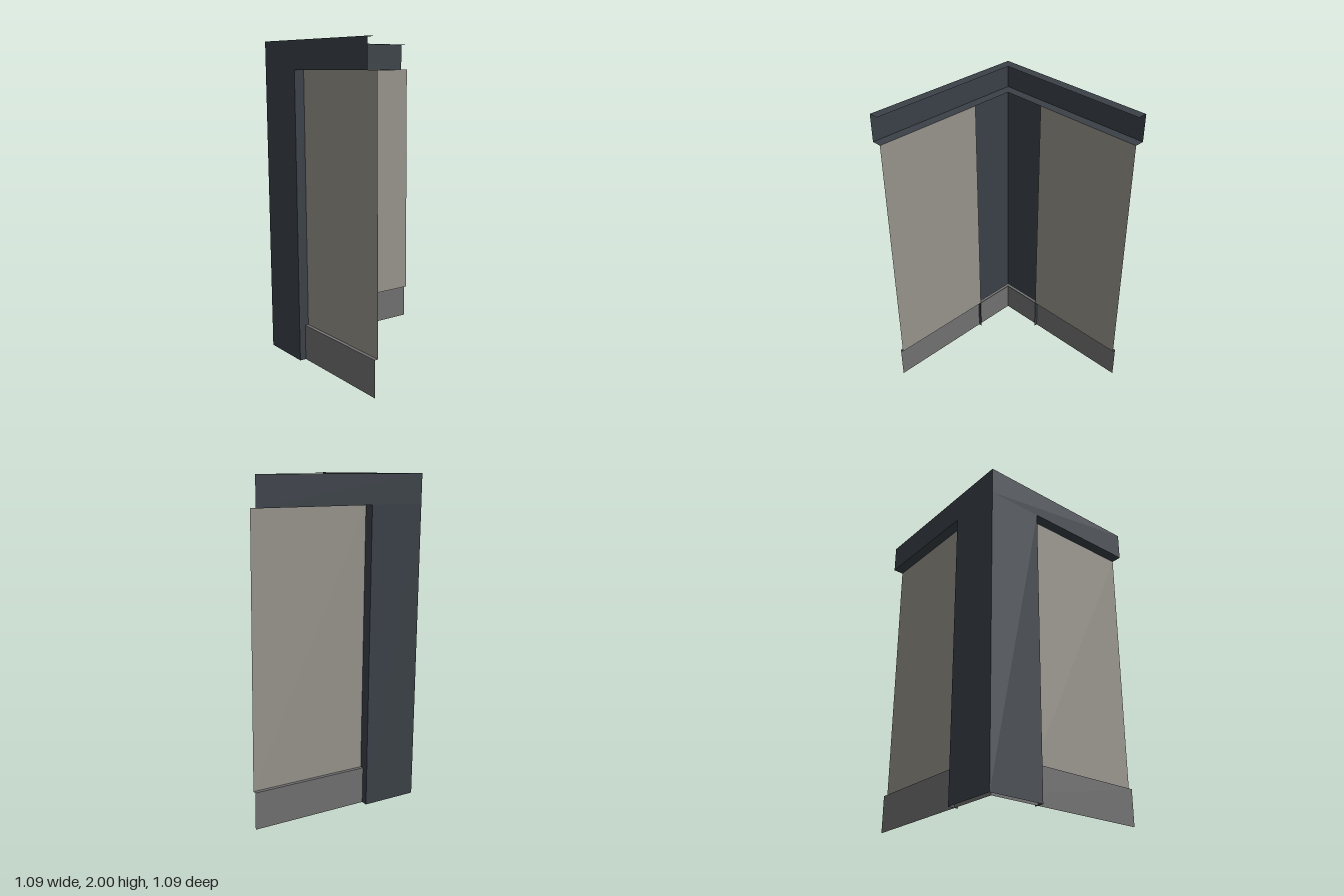
import * as THREE from 'three';

const material = (name, color) => {
  const m = new THREE.MeshStandardMaterial({ color, side: THREE.DoubleSide });
  m.name = name;
  return m;
};

const HALF = 0.547;        // half the plan size
const LENGTH = 2 * HALF;   // length of each wall
const HEIGHT = 2;
const DEPTH = 0.064;       // depth of the frame profile
const BASE_DEPTH = 0.041;  // setback of the baseboard from the outer face
const POST = 0.352;        // width of the corner post
const BAND_Y = 1.825;      // underside of the top band
const BASE_Y = 0.226;      // top of the baseboard

// Flat sheet from an outline of points [along wall, height, depth inwards]
function sheet(name, mat, outline, side) {
  const pts = outline.map(([u, y, d]) => (side === 'front'
    ? [-HALF + u, y, HALF - d]
    : [-HALF + d, y, HALF - u]));
  if (side !== 'front') pts.reverse();
  const g = new THREE.BufferGeometry();
  g.setAttribute('position', new THREE.Float32BufferAttribute(pts.flat(), 3));
  g.setIndex([0, 1, 2, 0, 2, 3]);
  g.computeVertexNormals();
  const mesh = new THREE.Mesh(g, mat);
  mesh.name = name;
  return mesh;
}

// Upright sheet at depth d
const upright = (u0, u1, y0, y1, d) => [[u0, y0, d], [u1, y0, d], [u1, y1, d], [u0, y1, d]];
// Level strip between two depths, mitred at the corner
const level = (y, d0, d1) => [[d0, y, d0], [LENGTH, y, d0], [LENGTH, y, d1], [d1, y, d1]];

export function createModel() {
  const frame = material('dark slate frame', 0x3a4047);
  const infill = material('warm grey panel', 0x96928a);
  const plinth = material('mid grey baseboard', 0x707070);

  const model = new THREE.Group();
  model.name = 'cornerWall';

  // Two matching walls mirrored about the corner
  for (const side of ['front', 'side']) {
    const wall = new THREE.Group();
    wall.name = side + 'Wall';
    const add = (name, mat, outline) => wall.add(sheet(name, mat, outline, side));

    // Corner post: outer face and the reveal beside the panel
    add('postFace', frame, upright(0, POST, 0, BAND_Y, 0));
    add('postReveal', frame, [[POST, 0, 0], [POST, 0, DEPTH], [POST, BAND_Y, DEPTH], [POST, BAND_Y, 0]]);

    // Top band: channel open towards the inside
    add('bandFace', frame, upright(0, LENGTH, BAND_Y, HEIGHT, 0));
    add('bandTopFlange', frame, level(HEIGHT, 0, DEPTH));
    add('bandBottomFlange', frame, level(BAND_Y, 0, DEPTH));

    // Recessed panel
    add('panel', infill, upright(POST, LENGTH, BASE_Y, BAND_Y, DEPTH));

    // Baseboard with its top lip, running behind the post into the corner
    add('baseboard', plinth, upright(BASE_DEPTH, LENGTH, 0, BASE_Y, BASE_DEPTH));
    add('baseboardLip', plinth, level(BASE_Y, BASE_DEPTH, DEPTH));

    model.add(wall);
  }
  return model;
}
